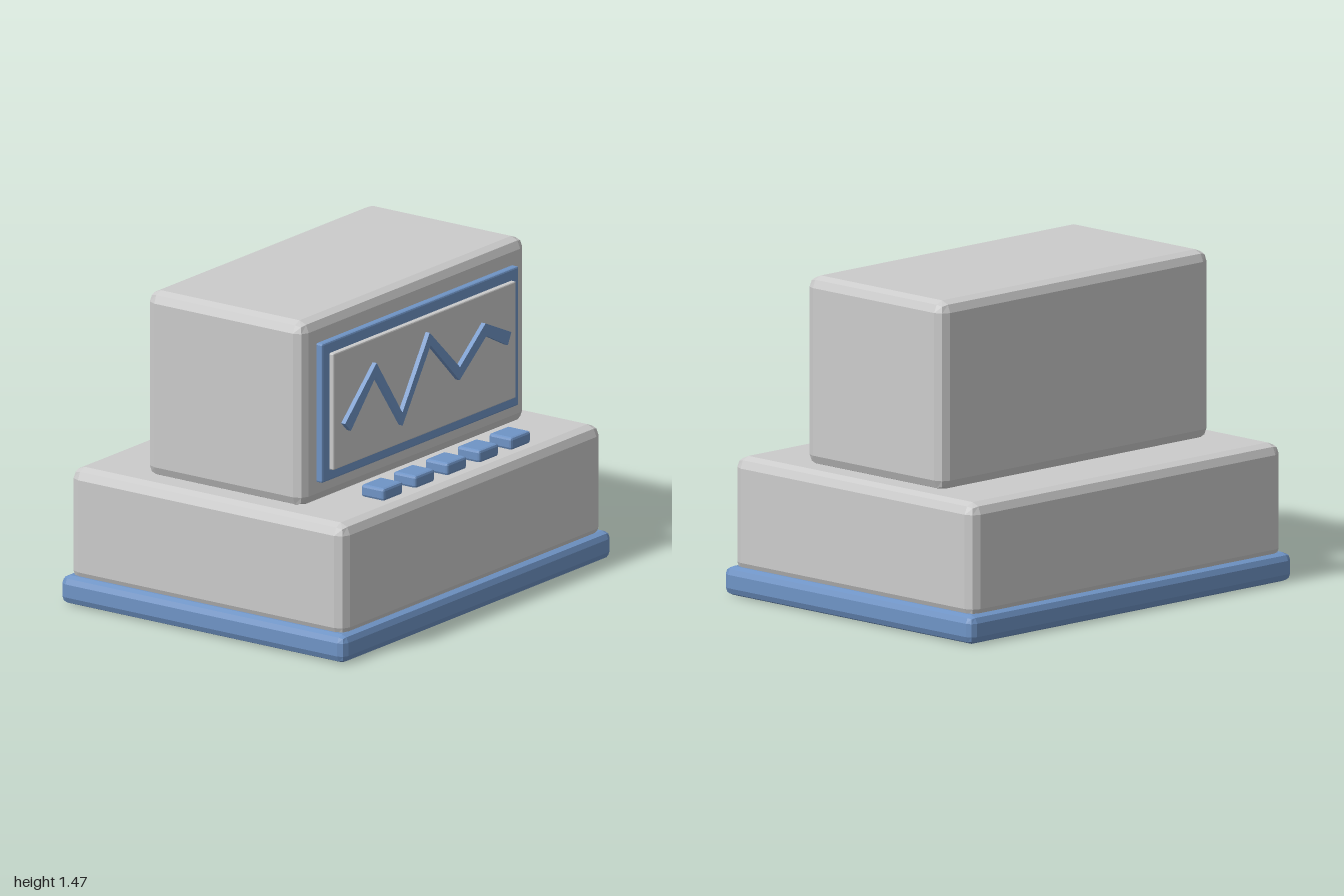
import * as THREE from 'three';
import { RoundedBoxGeometry } from 'three/addons/geometries/RoundedBoxGeometry.js';

const grey = new THREE.MeshStandardMaterial({ color: 0xcccccc, flatShading: true });
const blue = new THREE.MeshStandardMaterial({ color: 0x6f94c6, flatShading: true });

// Bevelled block given by its min/max limits on each axis
function block(name, [x0, x1], [y0, y1], [z0, z1], radius, material) {
  const geometry = new RoundedBoxGeometry(x1 - x0, y1 - y0, z1 - z0, 1, radius);
  const mesh = new THREE.Mesh(geometry, material);
  mesh.position.set((x0 + x1) / 2, (y0 + y1) / 2, (z0 + z1) / 2);
  mesh.name = name;
  return mesh;
}

// Zigzag ribbon: offset each point along its averaged normal, then extrude
function ribbon(name, coords, width, z, depth, material) {
  const pts = coords.map(([x, y]) => new THREE.Vector2(x, y));
  const upper = [], lower = [];
  pts.forEach((p, i) => {
    const dir = new THREE.Vector2();
    if (i > 0) dir.add(p.clone().sub(pts[i - 1]).normalize());
    if (i < pts.length - 1) dir.add(pts[i + 1].clone().sub(p).normalize());
    dir.normalize();
    const normal = new THREE.Vector2(-dir.y, dir.x).multiplyScalar(width / 2);
    upper.push(p.clone().add(normal));
    lower.push(p.clone().sub(normal));
  });
  const shape = new THREE.Shape([...lower, ...upper.reverse()]);
  const mesh = new THREE.Mesh(
    new THREE.ExtrudeGeometry(shape, { depth, bevelEnabled: false }), material);
  mesh.position.z = z;
  mesh.name = name;
  return mesh;
}

export function createModel() {
  const model = new THREE.Group();
  model.name = 'signalMonitor';

  // Plinth, lower case and display housing
  model.add(
    block('plinth', [-1, 1], [0, 0.13], [-0.78, 0.78], 0.035, blue),
    block('lowerCase', [-0.965, 0.965], [0.1, 0.625], [-0.752, 0.752], 0.05, grey),
    block('displayHousing', [-0.835, 0.835], [0.612, 1.467], [-0.43, 0.43], 0.05, grey),
  );

  // Layered display: bezel, screen and trace
  model.add(
    block('bezel', [-0.73, 0.73], [0.715, 1.357], [0.425, 0.464], 0.008, blue),
    block('screen', [-0.678, 0.678], [0.766, 1.304], [0.455, 0.487], 0.006, grey),
    ribbon('trace', [
      [-0.6, 0.95], [-0.39, 1.165], [-0.195, 0.888], [0.01, 1.207],
      [0.23, 0.992], [0.425, 1.147], [0.6, 1.062],
    ], 0.06, 0.475, 0.034, blue),
  );

  // Row of push buttons
  for (let i = -2; i <= 2; i++) {
    const x = i * 0.237;
    model.add(block(`button${i + 3}`, [x - 0.0725, x + 0.0725], [0.622, 0.68], [0.54, 0.665], 0.012, blue));
  }
  return model;
}
